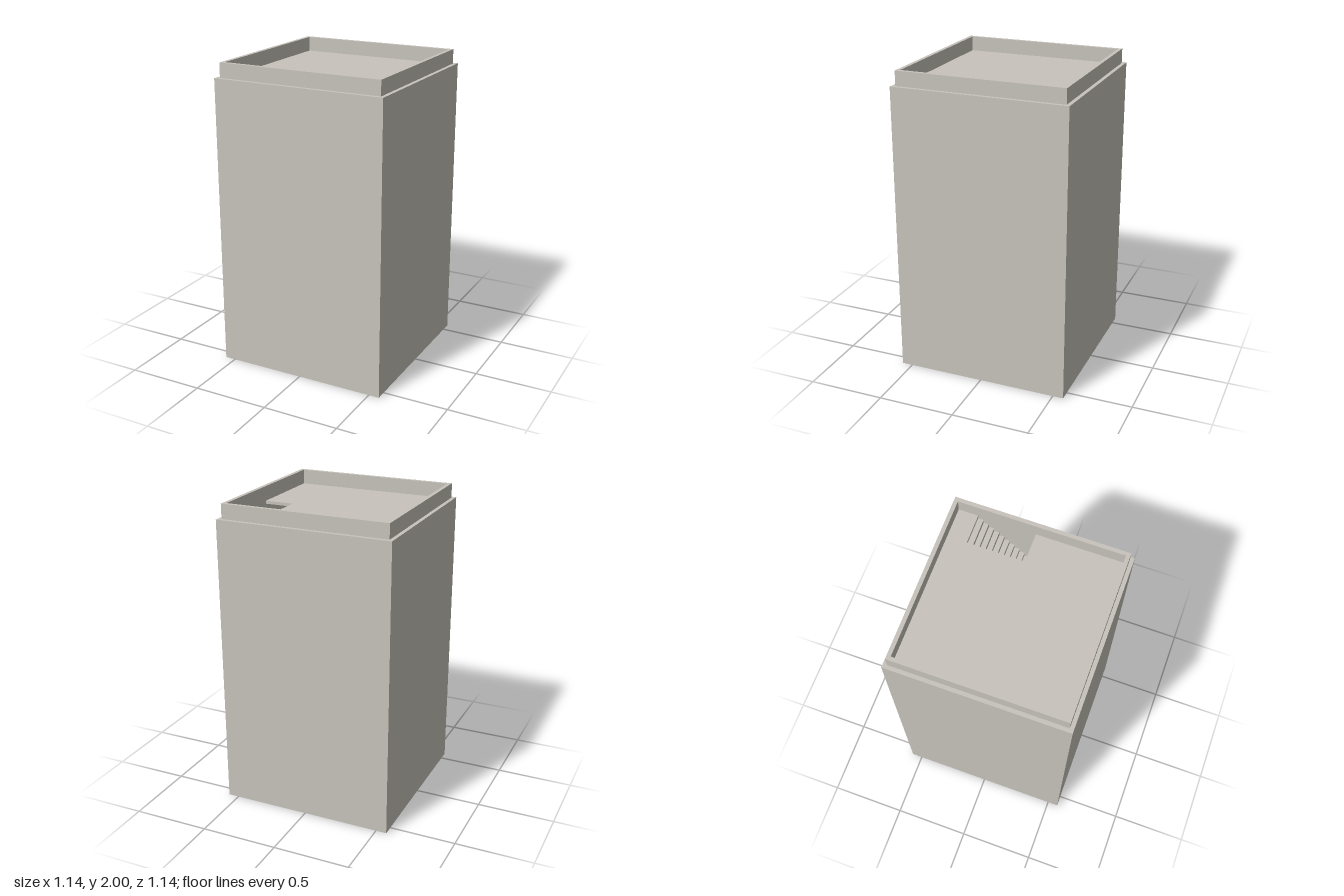
import * as THREE from 'three';

const WALL = 0.57, PARAPET = 0.545, INNER = 0.52;   // half widths
const ROOF = 1.905, TOP = 2, SLAB = 0.02;
const STAIR = { x0: 0.33, x1: INNER, z0: -0.395, z1: -0.03, steps: 11, rise: 0.032 };

const rect = (h) => [[-h, -h], [h, -h], [h, h], [-h, h]].map(([x, y]) => new THREE.Vector2(x, y));

// Extrudes a plan (x, -z) upward from y0 to y1
function raise(shape, y0, y1) {
  const g = new THREE.ExtrudeGeometry(shape, { depth: y1 - y0, bevelEnabled: false });
  return g.rotateX(-Math.PI / 2).translate(0, y0, 0);
}

// Square ring of wall
function ring(outer, inner, y0, y1) {
  const s = new THREE.Shape(rect(outer));
  s.holes.push(new THREE.Path(rect(inner)));
  return raise(s, y0, y1);
}

export function createModel() {
  const group = new THREE.Group();
  group.name = 'tower';
  const stone = new THREE.MeshStandardMaterial({ color: 0xc8c4bc });
  stone.name = 'pale stone';

  const add = (name, geometry, parent = group) => {
    const m = new THREE.Mesh(geometry, stone);
    m.name = name;
    parent.add(m);
    return m;
  };

  // Hollow body, parapet and ground slab
  add('outerWalls', ring(WALL, INNER, 0, ROOF));
  add('parapet', ring(PARAPET, INNER, ROOF, TOP));
  add('groundFloor', raise(new THREE.Shape(rect(INNER)), 0, SLAB));

  // Roof slab, notched on one side for the stairwell
  const { x0, x1, z0, z1, steps, rise } = STAIR;
  const roof = new THREE.Shape([
    [-INNER, -INNER], [INNER, -INNER], [x1, -z1], [x0, -z1],
    [x0, -z0], [x1, -z0], [INNER, INNER], [-INNER, INNER],
  ].map(([x, y]) => new THREE.Vector2(x, y)));
  add('roofSlab', raise(roof, ROOF - SLAB, ROOF));

  // Storey floor at the foot of the stairs
  const floorY = ROOF - (steps + 1) * rise;
  add('upperFloor', raise(new THREE.Shape(rect(INNER)), floorY - SLAB, floorY));

  // Steps descending from the back towards the front
  const stairs = new THREE.Group();
  stairs.name = 'stairs';
  group.add(stairs);
  const run = (z1 - z0) / steps;
  for (let i = 0; i < steps; i++) {
    const top = ROOF - (i + 1) * rise;
    const h = top - floorY;
    add('step', new THREE.BoxGeometry(x1 - x0, h, run), stairs)
      .position.set((x0 + x1) / 2, floorY + h / 2, z0 + run * (i + 0.5));
  }
  return group;
}
